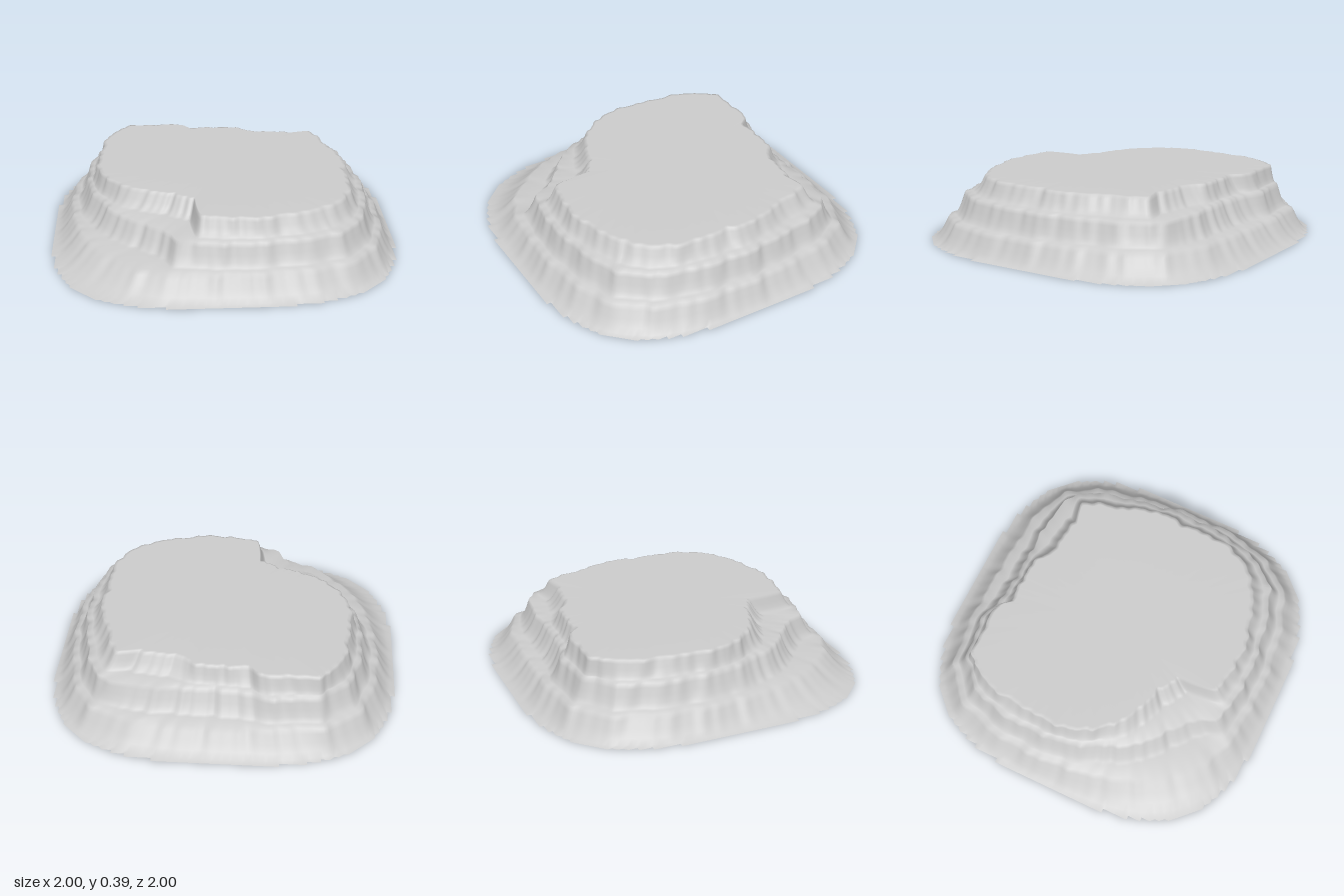
import * as THREE from 'three';

const SEGMENTS = 360;

// Plan outlines (x, z) of the three terrace rims, in order of angle
const LOW_RIM = [
  [0.91, 0], [0.9, 0.35], [0.82, 0.6], [0.68, 0.77], [0.45, 0.85], [0.1, 0.89], [-0.3, 0.86],
  [-0.5, 0.78], [-0.65, 0.62], [-0.77, 0.45], [-0.85, 0.2], [-0.89, -0.1], [-0.87, -0.4],
  [-0.78, -0.67], [-0.6, -0.82], [-0.3, -0.86], [0.1, -0.85], [0.5, -0.82], [0.7, -0.73],
  [0.82, -0.55], [0.88, -0.25],
];
const MIDDLE_RIM = [
  [0.83, 0], [0.81, 0.3], [0.74, 0.55], [0.6, 0.7], [0.4, 0.76], [0.1, 0.8], [-0.15, 0.78],
  [-0.28, 0.73], [-0.35, 0.6], [-0.5, 0.48], [-0.62, 0.37], [-0.7, 0.2], [-0.77, 0.05],
  [-0.79, -0.15], [-0.78, -0.4], [-0.71, -0.6], [-0.55, -0.74], [-0.3, -0.77], [-0.1, -0.71],
  [0.1, -0.7], [0.35, -0.7], [0.55, -0.68], [0.68, -0.62], [0.75, -0.45], [0.8, -0.2],
];
const TOP_RIM = [
  [0.73, 0], [0.71, 0.08], [0.72, 0.2], [0.71, 0.35], [0.65, 0.5], [0.5, 0.62], [0.35, 0.67],
  [0.15, 0.72], [0, 0.7], [-0.15, 0.68], [-0.17, 0.55], [-0.18, 0.45], [-0.28, 0.38],
  [-0.45, 0.32], [-0.58, 0.24], [-0.65, 0.15], [-0.71, 0.05], [-0.73, -0.1], [-0.71, -0.3],
  [-0.7, -0.45], [-0.63, -0.62], [-0.55, -0.7], [-0.22, -0.7], [-0.17, -0.63], [0, -0.64],
  [0.15, -0.62], [0.22, -0.55], [0.35, -0.55], [0.45, -0.52], [0.58, -0.55], [0.62, -0.45],
  [0.66, -0.3], [0.72, -0.15],
];

// Distance from the centre to an outline along a given angle
function rimRadius(points, angle) {
  const dx = Math.cos(angle), dz = Math.sin(angle);
  for (let i = 0; i < points.length; i++) {
    const [ax, az] = points[i];
    const [bx, bz] = points[(i + 1) % points.length];
    const sideA = dx * az - dz * ax, sideB = dx * bz - dz * bx;
    if (sideA <= 1e-9 && sideB > 1e-9) {
      const t = sideA / (sideA - sideB);
      const along = (ax + (bx - ax) * t) * dx + (az + (bz - az) * t) * dz;
      if (along > 0) return along;
    }
  }
  return Math.hypot(...points[0]);
}

// Rounded square footprint
function baseRadius(angle) {
  const n = 3.1;
  return (Math.abs(Math.cos(angle)) ** n + Math.abs(Math.sin(angle)) ** n) ** (-1 / n);
}

// Gentle erosion of the rock faces
function erosion(angle, phase) {
  return 0.005 * Math.sin(angle * 23 + phase) + 0.004 * Math.sin(angle * 41 + phase * 2.3)
    + 0.003 * Math.sin(angle * 67 + phase * 3.7);
}

// Radii and heights of one upright section, from the foot to the plateau
function section(angle) {
  const r0 = baseRadius(angle);
  const r1 = rimRadius(LOW_RIM, angle) + erosion(angle, 1);
  const r2 = Math.min(rimRadius(MIDDLE_RIM, angle) + erosion(angle, 2), r1 - 0.03);
  const r3 = Math.min(rimRadius(TOP_RIM, angle) + erosion(angle, 3.2), r2 - 0.03);
  const rows = [[r0, 0]];
  // Concave slope: shallow at the foot and steep below the rim
  const slope = (from, to, y0, y1) => {
    for (const [t, h] of [[0.2, 0.07], [0.42, 0.25], [0.65, 0.52], [0.85, 0.82], [1, 1]]) {
      rows.push([from + (to - from) * t, y0 + (y1 - y0) * h]);
    }
  };
  const ledge = (rim, next, y) => {
    const foot = next + Math.min((rim - next) * 0.7, 0.09);
    rows.push([foot, y]);
    return foot;
  };
  slope(r0, r1, 0, 0.138);
  slope(ledge(r1, r2, 0.146), r2, 0.146, 0.278);
  slope(ledge(r2, r3, 0.286), r3, 0.286, 0.388);
  rows.push([r3 * 0.975, 0.392], [r3 * 0.5, 0.392]);
  return rows;
}

function hillGeometry() {
  const positions = [], index = [];
  const rowCount = section(0).length;
  const snap = (v) => Math.round(v / 0.025) * 0.025;
  for (let j = 0; j < SEGMENTS; j++) {
    const angle = (j / SEGMENTS) * Math.PI * 2;
    section(angle).forEach(([r, y], i) => {
      const x = r * Math.cos(angle), z = r * Math.sin(angle);
      // The foot follows a fine stepped grid
      if (i === 0) positions.push(snap(x), y, snap(z));
      else positions.push(x, y, z);
    });
  }
  const centre = SEGMENTS * rowCount;
  positions.push(0, 0.392, 0);
  for (let j = 0; j < SEGMENTS; j++) {
    const here = j * rowCount, next = ((j + 1) % SEGMENTS) * rowCount;
    for (let i = 0; i < rowCount - 1; i++) {
      index.push(here + i, here + i + 1, next + i);
      index.push(next + i, here + i + 1, next + i + 1);
    }
    index.push(here + rowCount - 1, centre, next + rowCount - 1);
  }
  const geometry = new THREE.BufferGeometry();
  geometry.setAttribute('position', new THREE.Float32BufferAttribute(positions, 3));
  geometry.setIndex(index);
  geometry.computeVertexNormals();
  return geometry;
}

export function createModel() {
  const group = new THREE.Group();
  group.name = 'terracedHill';
  const rock = new THREE.MeshStandardMaterial({ color: 0xcccccc, side: THREE.DoubleSide });
  rock.name = 'pale grey rock';

  // Open shell: three terraces and a flat plateau
  const hill = new THREE.Mesh(hillGeometry(), rock);
  hill.name = 'hillShell';
  group.add(hill);
  return group;
}
